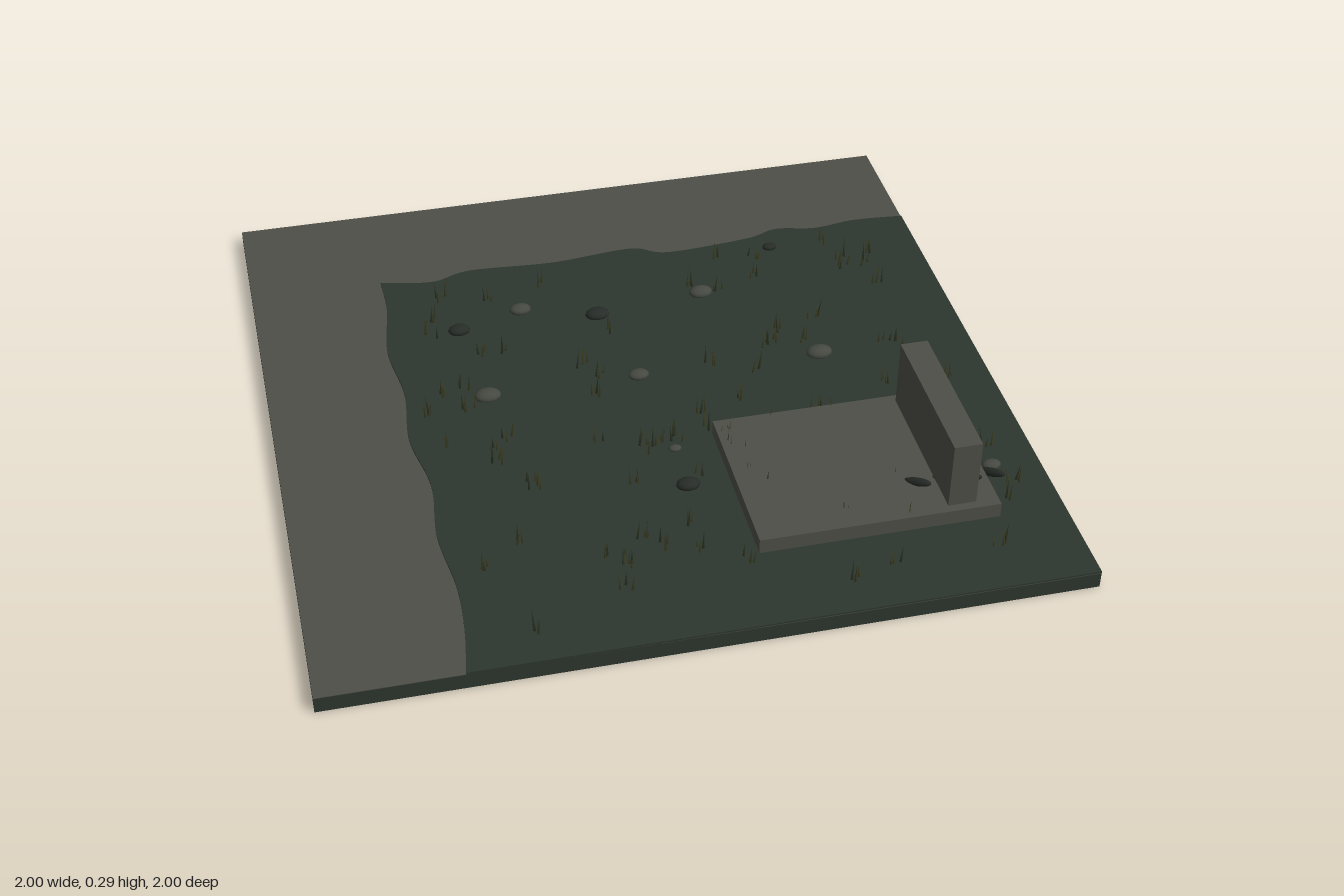
import * as THREE from 'three';
import { mergeGeometries } from 'three/addons/utils/BufferGeometryUtils.js';

const mat = (name, color, side = THREE.FrontSide) => {
  const m = new THREE.MeshStandardMaterial({ color, side });
  m.name = name;
  return m;
};

// Small seeded generator for the scattered grass
function seeded(seed) {
  return () => {
    seed = (seed * 1664525 + 1013904223) % 4294967296;
    return seed / 4294967296;
  };
}

export function createModel() {
  const group = new THREE.Group();
  const soil = mat('dark green ground', 0x2d372e);
  const concrete = mat('grey concrete', 0x4e4f47);
  const lightStone = mat('grey stone', 0x454941);
  const darkStone = mat('dark stone', 0x272c28);
  const olive = mat('olive grass', 0x3c3d22, THREE.DoubleSide);
  const darkGrass = mat('dark grass', 0x2a3020, THREE.DoubleSide);

  const add = (name, geometry, material, x = 0, y = 0, z = 0) => {
    const mesh = new THREE.Mesh(geometry, material);
    mesh.name = name;
    mesh.position.set(x, y, z);
    group.add(mesh);
    return mesh;
  };
  const box = (name, material, x0, x1, y0, y1, z0, z1) =>
    add(name, new THREE.BoxGeometry(x1 - x0, y1 - y0, z1 - z0), material,
      (x0 + x1) / 2, (y0 + y1) / 2, (z0 + z1) / 2);

  // Square base with a paved top
  box('base', soil, -1, 1, 0, 0.045, -1, 1);
  box('pavement', concrete, -1, 1, 0.045, 0.047, -1, 1);

  // Raised earth with two wavy edges, given as [x, z]
  const edge = [
    [-0.63, 1], [-0.61, 0.85], [-0.605, 0.7], [-0.625, 0.5], [-0.61, 0.3],
    [-0.64, 0.1], [-0.625, -0.1], [-0.645, -0.3], [-0.62, -0.5], [-0.62, -0.637],
    [-0.47, -0.61], [-0.35, -0.643], [-0.1, -0.63], [0.14, -0.65], [0.25, -0.607],
    [0.5, -0.625], [0.6, -0.655], [0.72, -0.635], [0.85, -0.65], [1, -0.64],
  ].map(([x, z]) => new THREE.Vector2(x, -z));
  const shape = new THREE.Shape();
  shape.moveTo(edge[0].x, edge[0].y);
  shape.splineThru(edge.slice(1, 10));
  shape.splineThru(edge.slice(10));
  shape.lineTo(1, -1);
  shape.closePath();
  const earth = new THREE.ExtrudeGeometry(shape, { depth: 0.008, bevelEnabled: false, curveSegments: 40 });
  earth.rotateX(-Math.PI / 2);
  add('earth', earth, soil, 0, 0.044, 0);

  // Slab and upright wall
  box('slab', concrete, 0.17, 0.82, 0.045, 0.095, 0.255, 0.745);
  box('wall', concrete, 0.682, 0.758, 0.09, 0.29, 0.278, 0.722);

  // Flattened stones: x, z, radius, dark or light
  const stoneShape = new THREE.SphereGeometry(1, 12, 8);
  [
    [-0.43, -0.35, 0.032, 1], [-0.24, -0.41, 0.032, 0], [-0.025, -0.34, 0.035, 1],
    [0.295, -0.38, 0.035, 0], [0.555, -0.56, 0.022, 1], [-0.4, -0.035, 0.038, 0],
    [0.03, -0.035, 0.03, 0], [0.555, -0.025, 0.038, 0], [0.055, 0.3, 0.018, 0],
    [0.055, 0.45, 0.033, 1], [0.52, 0.25, 0.022, 0], [0.865, 0.55, 0.027, 0],
  ].forEach(([x, z, r, dark]) => {
    add('stone', stoneShape, dark ? darkStone : lightStone, x, 0.058, z)
      .scale.set(r, r * 0.5, r * 0.72);
  });

  // Long dark pods lying tilted beside the wall
  const up = new THREE.Vector3(0, 1, 0);
  [[0.63, 0.1, 0.62, 0.06], [0.7, 0.095, 0.62, 0.06], [0.77, 0.098, 0.622, 0.055], [0.84, 0.09, 0.615, 0.045]]
    .forEach(([x, y, z, run]) => {
      const pod = add('pod', stoneShape, darkStone, x, y, z);
      pod.scale.set(0.012, 0.044, 0.012);
      pod.quaternion.setFromUnitVectors(up, new THREE.Vector3(run, 0.03, 0.065).normalize());
    });

  // Grass tufts: thin tapering blades scattered over the earth
  const rand = seeded(17);
  const blades = [[], []];
  for (let i = 0; i < 85; i++) {
    const cx = -0.57 + rand() * 1.48;
    const cz = -0.56 + rand() * 1.5;
    for (let j = 0; j < 3; j++) {
      const h = 0.035 + rand() * 0.043;
      const blade = new THREE.ConeGeometry(0.0045, h, 3, 1, true);
      blade.translate(0, h / 2, 0);
      blade.rotateZ((rand() - 0.5) * 0.35);
      blade.rotateY(rand() * Math.PI);
      blade.translate(cx + (rand() - 0.5) * 0.035, 0.05, cz + (rand() - 0.5) * 0.035);
      blades[j % 2].push(blade);
    }
  }
  add('oliveGrass', mergeGeometries(blades[0]), olive);
  add('darkGrass', mergeGeometries(blades[1]), darkGrass);

  return group;
}
